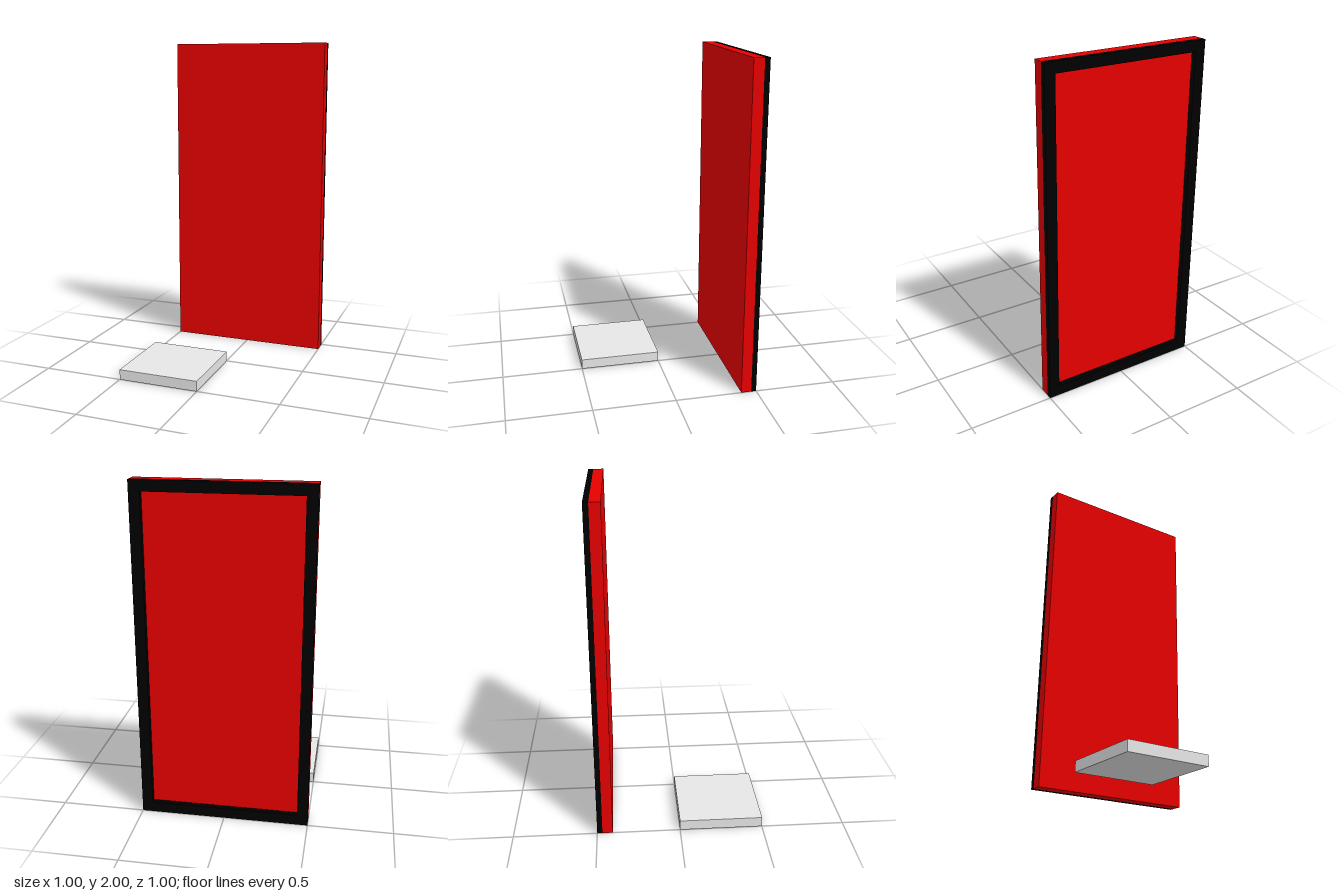
import * as THREE from 'three';

const material = (name, color) => {
  const m = new THREE.MeshStandardMaterial({ color });
  m.name = name;
  return m;
};

const rectangle = (Type, x0, y0, x1, y1) => new Type([
  new THREE.Vector2(x0, y0), new THREE.Vector2(x1, y0),
  new THREE.Vector2(x1, y1), new THREE.Vector2(x0, y1),
]);

export function createModel() {
  const red = material('red', 0xe60000);
  const black = material('black', 0x000000);
  const grey = material('light grey', 0xe6e6e6);

  const unit = 1 / 16;
  const backDepth = unit / 2;
  const model = new THREE.Group();
  model.name = 'doorAndPlate';

  const add = (name, geometry, mat, x, y, z) => {
    const mesh = new THREE.Mesh(geometry, mat);
    mesh.name = name;
    mesh.position.set(x, y, z);
    model.add(mesh);
  };

  // Tall door panel
  add('doorPanel', new THREE.BoxGeometry(1, 2, unit), red,
    0, 1, -0.5 + backDepth + unit / 2);

  // Raised border around the back of the panel
  const border = rectangle(THREE.Shape, -0.5, 0, 0.5, 2);
  border.holes.push(rectangle(THREE.Path, -0.5 + unit, unit, 0.5 - unit, 2 - unit));
  add('backFrame', new THREE.ExtrudeGeometry(border, { depth: backDepth, bevelEnabled: false }),
    black, 0, 0, -0.5);

  // Square plate on the ground in front
  add('floorPlate', new THREE.BoxGeometry(0.5, unit, 0.5), grey, -0.25, unit / 2, 0.25);

  return model;
}
